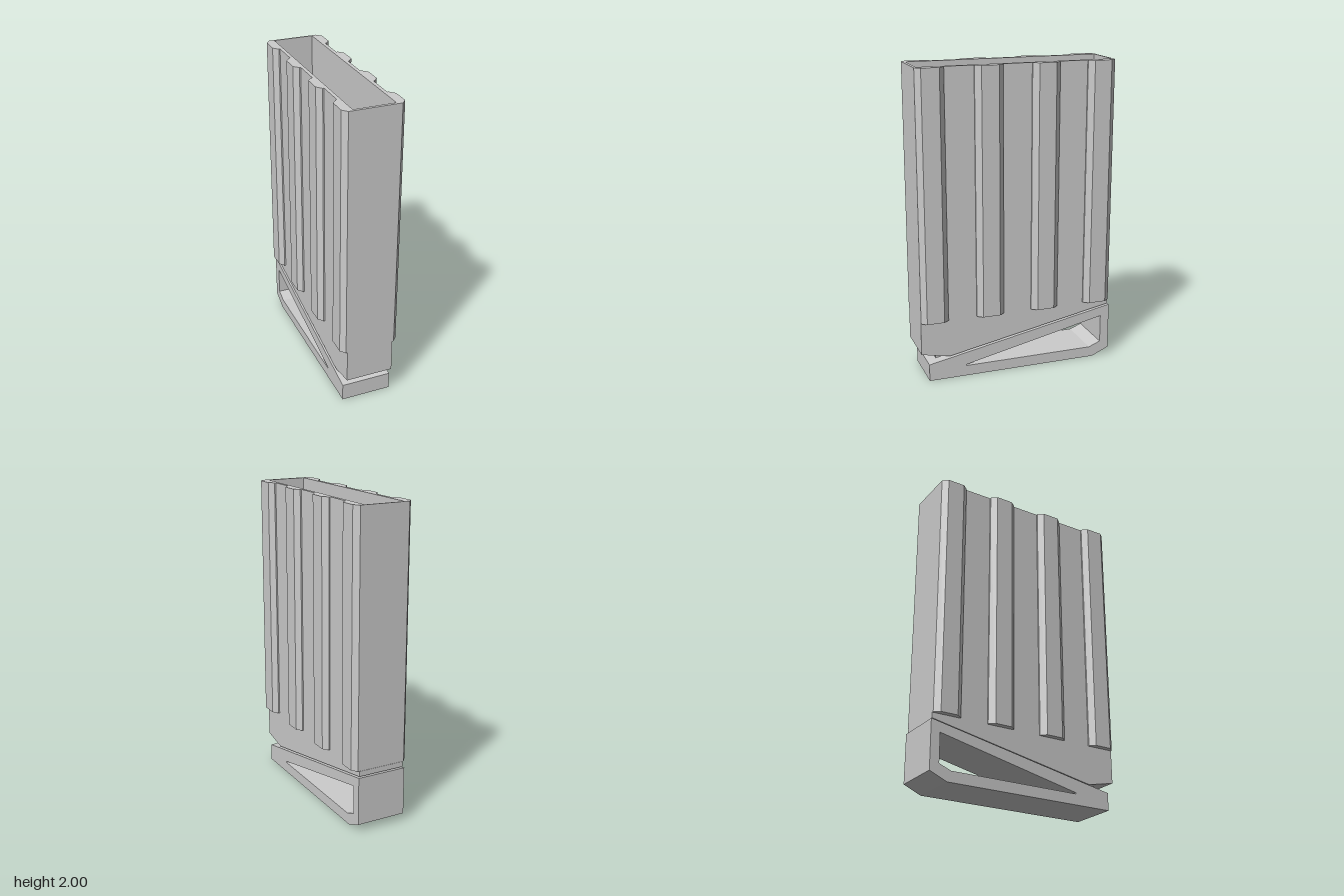
import * as THREE from 'three';

const material = new THREE.MeshStandardMaterial({ color: 0xcccccc, flatShading: true });

const vectors = (points) => points.map(([a, b]) => new THREE.Vector2(a, b));

function addMesh(group, name, geometry) {
  const mesh = new THREE.Mesh(geometry, material);
  mesh.name = name;
  group.add(mesh);
}

function extrude(outline, hole, depth) {
  const shape = new THREE.Shape(vectors(outline));
  if (hole) shape.holes.push(new THREE.Path(vectors(hole)));
  return new THREE.ExtrudeGeometry(shape, { depth, bevelEnabled: false });
}

// Side profile in (z, y), extruded across x
function sideProfile(outline, width, hole) {
  return extrude(outline, hole, width).translate(0, 0, -width / 2).rotateY(-Math.PI / 2);
}

// Plan profile in (x, z), extruded up from y0 to y1
function planProfile(outline, y0, y1, hole) {
  const flip = (points) => points && points.map(([x, z]) => [x, -z]);
  return extrude(flip(outline), flip(hole), y1 - y0).rotateX(-Math.PI / 2).translate(0, y0, 0);
}

export function createModel() {
  const group = new THREE.Group();
  group.name = 'ribbedCase';

  const wall = 0.153, ribBase = 0.162, ribTop = 0.191;
  const ribBottom = 0.4, top = 2;

  // Ribbed open-topped sleeve: four chamfered ribs along each long side
  const leftSide = [];
  for (const z of [0.56, 0.19, -0.18, -0.547]) {
    const front = Math.min(z + 0.091, 0.649), back = Math.max(z - 0.091, -0.64);
    leftSide.push(
      [wall, front], [ribBase, front], [ribTop, z + 0.056],
      [ribTop, z - 0.056], [ribBase, back], [wall, back],
    );
  }
  const rightSide = leftSide.map(([x, z]) => [-x, z]).reverse();
  const cavity = [[-0.13, -0.628], [0.13, -0.628], [0.13, 0.63], [-0.13, 0.63]];
  addMesh(group, 'ribbedSleeve', planProfile([...leftSide, ...rightSide], ribBottom, top, cavity));

  // Solid lower body with a sloping underside; its top is the cavity floor
  addMesh(group, 'lowerBody', sideProfile([
    [0.649, 0.185], [0.649, ribBottom], [-0.64, ribBottom], [-0.64, 0.366], [0.466, 0.148],
  ], wall * 2));

  // Narrow slab joining the body to the base, just breaking through the floor
  addMesh(group, 'connectorSlab', sideProfile([
    [0.543, 0.115], [0.543, 0.2], [-0.58, 0.402], [-0.58, 0.335],
  ], 0.194));

  // Wedge-shaped base frame with an opening right through it
  addMesh(group, 'baseFrame', sideProfile(
    [[0.602, 0], [0.602, 0.112], [-0.648, 0.36], [-0.648, 0.05], [-0.535, 0]],
    ribBase * 2,
    [[0.355, 0.069], [0.355, 0.077], [-0.588, 0.285], [-0.588, 0.1], [-0.51, 0.069]],
  ));

  return group;
}
